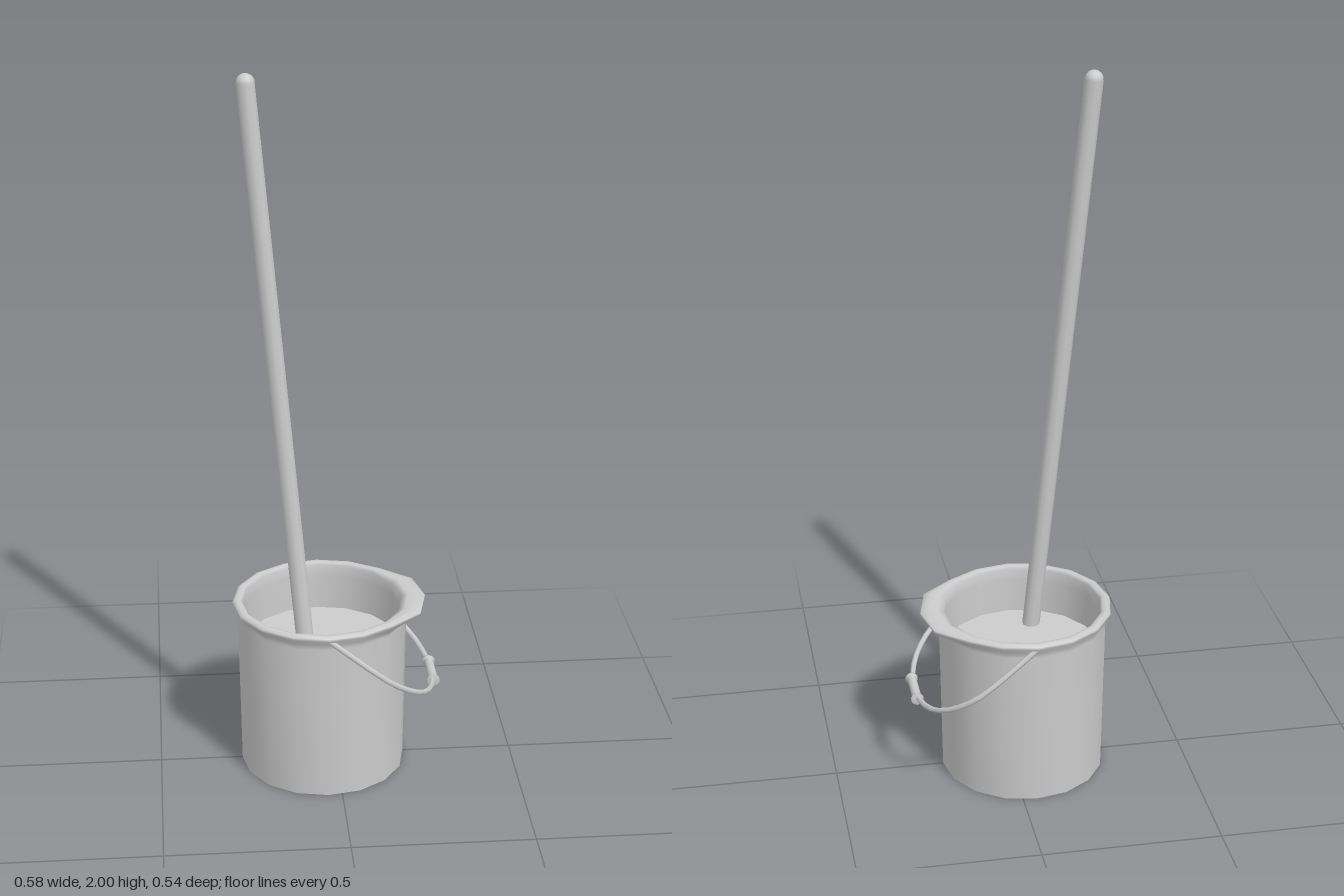
import * as THREE from 'three';
import { mergeVertices } from 'three/addons/utils/BufferGeometryUtils.js';

const CX = -0.038; // bucket axis
const WATER_Y = 0.36;
const mat = new THREE.MeshStandardMaterial({ color: 0xcccccc, side: THREE.DoubleSide });
const V = (x, y, z) => new THREE.Vector3(x, y, z);

function part(name, geometry, parent) {
  const mesh = new THREE.Mesh(geometry, mat);
  mesh.name = name;
  parent.add(mesh);
  return mesh;
}

// Sixteen-sided shell with a rolled rim, pulled out into a spout at +x
function bucketGeometry() {
  const profile = [
    [0.23, 0], [0.237, 0.455], [0.241, 0.472], [0.251, 0.487], [0.251, 0.495],
    [0.242, 0.5], [0.23, 0.499], [0.222, 0.492], [0.222, 0.46], [0.218, WATER_Y], [0.218, 0],
  ].map(([r, y]) => new THREE.Vector2(r, y));
  let g = new THREE.LatheGeometry(profile, 16);
  g.deleteAttribute('normal');
  g.deleteAttribute('uv');
  g = mergeVertices(g);
  const p = g.attributes.position;
  for (let i = 0; i < p.count; i++) {
    const x = p.getX(i), y = p.getY(i), z = p.getZ(i);
    const r = Math.hypot(x, z);
    const a = Math.abs(Math.atan2(z, x));
    const pull = a < 0.1 ? 0.037 : a < 0.5 ? 0.034 : a < 0.9 ? 0.004 : 0;
    const weight = y > 0.46 ? THREE.MathUtils.clamp((r - 0.222) / 0.029, 0, 1) : 0;
    const s = (r + pull * weight) / r;
    p.setXYZ(i, x * s, y, z * s);
  }
  g.computeVertexNormals();
  return g;
}

export function createModel() {
  const model = new THREE.Group();
  model.name = 'bucketAndPole';

  part('bucket', bucketGeometry(), model).position.x = CX;

  // Level surface inside the bucket
  const water = part('waterSurface', new THREE.CircleGeometry(0.219, 16), model);
  water.rotation.x = -Math.PI / 2;
  water.position.set(CX, WATER_Y, 0);

  // Leaning pole with a domed top
  const foot = V(-0.086, 0.33, 0.134), tip = V(-0.234, 1.975, 0.061);
  const axis = tip.clone().sub(foot);
  const pole = new THREE.Group();
  pole.name = 'pole';
  pole.position.copy(foot);
  pole.quaternion.setFromUnitVectors(V(0, 1, 0), axis.clone().normalize());
  model.add(pole);
  const length = axis.length();
  part('poleShaft', new THREE.CylinderGeometry(0.025, 0.025, length, 10), pole).position.y = length / 2;
  part('poleTip', new THREE.SphereGeometry(0.025, 10, 4, 0, Math.PI * 2, 0, Math.PI / 2), pole).position.y = length;

  // Wire bail lying on a sloping plane, mirrored front to back
  const half = [[-0.035, 0.24], [0.02, 0.25], [0.08, 0.259], [0.13, 0.259], [0.17, 0.242],
    [0.213, 0.205], [0.247, 0.145], [0.266, 0.07]];
  const onPlane = ([x, z]) => V(x, 0.483 - (x + 0.035) * 0.745, z);
  const points = [...half.map(onPlane), onPlane([0.271, 0]),
    ...half.map(([x, z]) => onPlane([x, -z])).reverse()];
  part('bail', new THREE.TubeGeometry(new THREE.CatmullRomCurve3(points), 28, 0.008, 6), model);

  // Grip with a flange at each end
  const gripProfile = [[0, -0.06], [0.018, -0.06], [0.018, -0.055], [0.013, -0.05],
    [0.013, 0.05], [0.018, 0.055], [0.018, 0.06], [0, 0.06]];
  const grip = part('grip', new THREE.LatheGeometry(
    gripProfile.map(([r, y]) => new THREE.Vector2(r, y)), 10), model);
  grip.rotation.x = Math.PI / 2;
  grip.position.copy(onPlane([0.271, 0]));

  return model;
}
